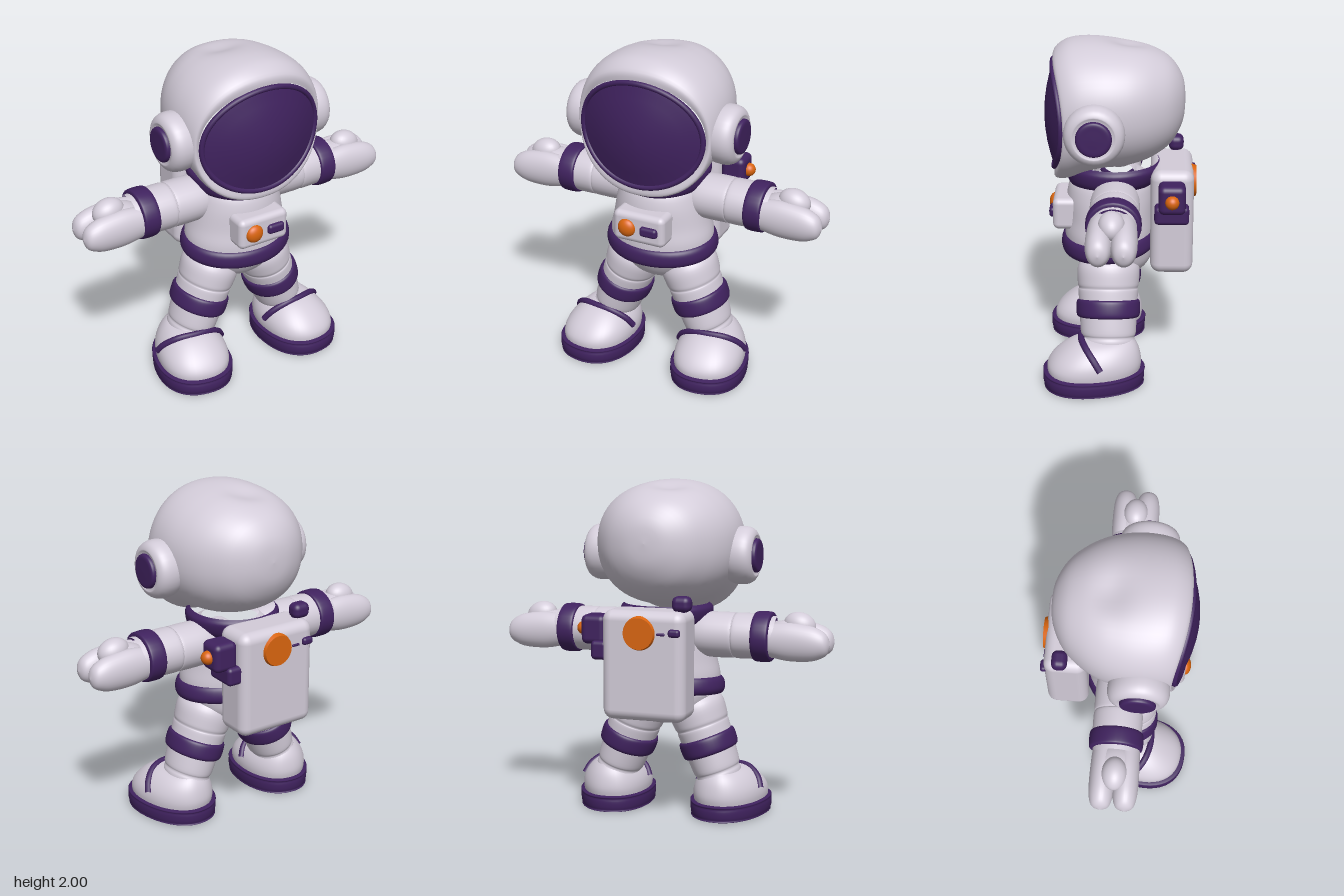
import * as THREE from 'three';
import { RoundedBoxGeometry } from 'three/addons/geometries/RoundedBoxGeometry.js';

const paint = (name, color) => {
  const m = new THREE.MeshStandardMaterial({ color });
  m.name = name;
  return m;
};

// Catmull-Rom resampling of rows of numbers
function smooth(rows, steps = 5) {
  const out = [], last = rows.length - 1;
  for (let i = 0; i < last; i++) {
    const p = rows[Math.max(i - 1, 0)], a = rows[i], b = rows[i + 1], q = rows[Math.min(i + 2, last)];
    for (let s = 0; s < steps; s++) {
      const t = s / steps;
      out.push(a.map((v, k) => v + 0.5 * t * (b[k] - p[k]
        + t * (2 * p[k] - 5 * v + 4 * b[k] - q[k] + t * (3 * (v - b[k]) + q[k] - p[k])))));
    }
  }
  out.push(rows[last]);
  return out;
}

// Closed skin over rings; point(row, angle) returns [x, y, z]
function loft(rows, point, n = 48) {
  const pos = [], idx = [];
  rows.forEach((row, i) => {
    for (let k = 0; k < n; k++) {
      pos.push(...point(row, (k / n) * Math.PI * 2));
      if (i === rows.length - 1) continue;
      const k2 = (k + 1) % n, a = i * n + k, b = i * n + k2;
      idx.push(a, b, a + n, b, b + n, a + n);
    }
  });
  const g = new THREE.BufferGeometry();
  g.setAttribute('position', new THREE.Float32BufferAttribute(pos, 3));
  g.setIndex(idx);
  g.computeVertexNormals();
  return g;
}

// Rows [y, halfWidth, zFront, zBack] stacked upwards
const stack = (rows, steps) => loft(smooth(rows, steps), ([y, w, f, b], a) =>
  [w * Math.sin(a), y, (f + b) / 2 + (f - b) / 2 * Math.cos(a)]);

// Rows [x, radiusY, radiusZ, centreY, centreZ] running along x
const along = (rows, steps) => loft(smooth(rows, steps), ([x, ry, rz, cy, cz], a) =>
  [x, cy + ry * Math.cos(a), cz + rz * Math.sin(a)], 32);

export function createModel() {
  const white = paint('suit white', 0xd3ccd9);
  const purple = paint('trim purple', 0x40225f);
  const orange = paint('button orange', 0xd9650f);
  const model = new THREE.Group();

  const add = (parent, name, geo, mat, x = 0, y = 0, z = 0) => {
    const m = new THREE.Mesh(geo, mat);
    m.name = name;
    m.position.set(x, y, z);
    parent.add(m);
    return m;
  };
  const ball = (rx, ry, rz) => new THREE.SphereGeometry(1, 32, 20).scale(rx, ry, rz);
  const box = (w, h, d, r) => new RoundedBoxGeometry(w, h, d, 4, r);

  // Helmet: rings from the back to the visor opening, [z, halfWidth, top, bottom, bend]
  const sgnPow = (v, p) => Math.sign(v) * Math.abs(v) ** p;
  const helmetRows = [
    [-0.38, 0, 1.65, 1.65, 0], [-0.365, 0.12, 1.77, 1.52, 0], [-0.3, 0.245, 1.875, 1.4, 0],
    [-0.2, 0.335, 1.94, 1.325, 0], [-0.1, 0.39, 1.975, 1.285, 0], [0, 0.42, 1.99, 1.265, 0],
    [0.1, 0.432, 1.998, 1.255, 0], [0.2, 0.43, 2, 1.225, 0.01], [0.265, 0.42, 1.985, 1.19, 0.04],
    [0.305, 0.405, 1.935, 1.195, 0.07], [0.3, 0.38, 1.88, 1.245, 0.08],
  ];
  add(model, 'helmet', loft(smooth(helmetRows, 4), ([z, w, t, b, bend], a) => {
    const x = w * sgnPow(Math.cos(a), 0.92), s = sgnPow(Math.sin(a), 0.92);
    const pz = z + bend * s * s;
    let y = (t + b) / 2 + (t - b) / 2 * s;
    // shallow dent on the crown
    if (y > 1.7) y -= 0.035 * Math.exp(-(((x + 0.04) ** 2 + (pz + 0.05) ** 2) / 0.012));
    return [x, y, pz];
  }, 64), white);

  // Visor: bulging pane with a raised rim
  const rim = (t, a) => [0.385 * t * Math.cos(a), 1.562 + 0.32 * t * Math.sin(a),
    0.44 - t * t * (0.13 - 0.07 * Math.sin(a) ** 2)];
  add(model, 'visor', loft([1, 0.93, 0.85, 0.7, 0.5, 0.3, 0.15, 0], (t, a) => {
    const p = rim(t, a);
    p[2] -= t > 0.9 ? 0 : 0.004;
    return p;
  }, 64), purple);
  const rimPath = new THREE.CatmullRomCurve3(Array.from({ length: 32 }, (_, i) =>
    new THREE.Vector3(...rim(0.965, i / 16 * Math.PI))), true);
  add(model, 'visorRim', new THREE.TubeGeometry(rimPath, 80, 0.016, 8, true), purple);

  // Collar, torso, belt and hips
  add(model, 'collar', stack([[1.13, 0.2, 0.27, -0.17], [1.15, 0.235, 0.295, -0.2],
    [1.19, 0.265, 0.31, -0.23], [1.25, 0.275, 0.31, -0.25], [1.28, 0.25, 0.28, -0.23]]), purple);
  add(model, 'torso', stack([[0.74, 0.31, 0.32, -0.19], [0.85, 0.315, 0.325, -0.2], [0.95, 0.295, 0.315, -0.2],
    [1.08, 0.27, 0.31, -0.2], [1.17, 0.24, 0.28, -0.18], [1.22, 0.18, 0.2, -0.1]]), white);
  const belt = add(model, 'belt', stack([[-0.055, 0.29, 0.24, -0.23], [-0.05, 0.325, 0.275, -0.265],
    [-0.02, 0.343, 0.288, -0.28], [0.025, 0.338, 0.284, -0.275], [0.05, 0.32, 0.268, -0.26],
    [0.057, 0.29, 0.24, -0.23]]), purple, 0, 0.79, 0.06);
  belt.rotation.x = 0.08;
  add(model, 'hips', stack([[0.55, 0, 0.06, 0.05], [0.56, 0.11, 0.14, -0.05], [0.61, 0.2, 0.22, -0.14],
    [0.68, 0.265, 0.27, -0.19], [0.77, 0.305, 0.31, -0.2]]), white);

  // Chest control panel
  add(model, 'chestPanel', box(0.325, 0.19, 0.15, 0.035), white, 0, 0.98, 0.315);
  add(model, 'chestButton', ball(0.055, 0.055, 0.035), orange, -0.07, 0.98, 0.388);
  add(model, 'chestSwitch', box(0.11, 0.06, 0.05, 0.02), purple, 0.072, 0.98, 0.388);

  // Ear pieces, arms and legs, built on the left and mirrored to the right
  for (const side of [1, -1]) {
    const half = new THREE.Group();
    half.name = side > 0 ? 'leftSide' : 'rightSide';
    half.scale.x = side;
    model.add(half);

    // Ear piece
    const earRow = (x, r) => [x, r, r, 1.56, 0.13];
    add(half, 'earPiece', along([earRow(0.36, 0.15), earRow(0.4, 0.168), earRow(0.46, 0.17),
      earRow(0.5, 0.155), earRow(0.52, 0.125), earRow(0.515, 0.1), earRow(0.5, 0)]), white);
    add(half, 'earCap', along([earRow(0.49, 0.1), earRow(0.525, 0.1), earRow(0.539, 0.088),
      earRow(0.541, 0.05), earRow(0.542, 0)]), purple);

    // Arm with a soft crease at the elbow
    const armRow = (x, r) => [x, r, r + 0.008, 1.1, 0.02];
    add(half, 'arm', along([armRow(0.15, 0.11), armRow(0.25, 0.132), armRow(0.41, 0.134), armRow(0.43, 0.128),
      armRow(0.45, 0.134), armRow(0.56, 0.132), armRow(0.68, 0.12)]), white);
    add(half, 'cuff', along([armRow(0.548, 0.11), armRow(0.55, 0.138), armRow(0.57, 0.147),
      armRow(0.63, 0.147), armRow(0.651, 0.138), armRow(0.653, 0.1)]), purple);

    // Mitten hand: palm, two fingers and a thumb
    add(half, 'palm', ball(0.15, 0.112, 0.135), white, 0.74, 1.09, 0.025);
    for (const z of [-0.043, 0.093]) {
      add(half, 'finger', along([[0.62, 0.09, 0.065, 1.09, z], [0.75, 0.11, 0.072, 1.085, z],
        [0.88, 0.103, 0.072, 1.08, z], [0.95, 0.08, 0.062, 1.078, z], [0.985, 0.05, 0.042, 1.075, z],
        [1, 0, 0, 1.075, z]]), white);
    }
    const thumb = add(half, 'thumb', ball(0.095, 0.075, 0.072), white, 0.81, 1.175, 0.025);
    thumb.rotation.z = -0.25;

    // Splayed leg with a knee band
    const leg = new THREE.Group();
    leg.name = 'leg';
    leg.position.set(0.255, 0.43, 0.062);
    leg.rotation.z = 0.35;
    half.add(leg);
    add(leg, 'legTube', stack([[-0.27, 0.12, 0.14, -0.15], [-0.2, 0.135, 0.155, -0.16], [-0.17, 0.132, 0.15, -0.155],
      [-0.14, 0.142, 0.162, -0.165], [0, 0.152, 0.17, -0.17], [0.1, 0.158, 0.178, -0.176], [0.12, 0.156, 0.174, -0.172],
      [0.15, 0.165, 0.182, -0.18], [0.25, 0.165, 0.18, -0.18], [0.32, 0.1, 0.12, -0.12], [0.33, 0, 0, 0]]), white);
    add(leg, 'kneeBand', stack([[-0.056, 0.13, 0.15, -0.15], [-0.052, 0.158, 0.175, -0.175],
      [-0.03, 0.17, 0.188, -0.188], [0.03, 0.172, 0.188, -0.188], [0.052, 0.162, 0.177, -0.177],
      [0.056, 0.13, 0.15, -0.15]]), purple);

    // Boot, turned slightly outwards; the outline is wider at the toe
    const boot = new THREE.Group();
    boot.name = 'boot';
    boot.position.set(0.345, 0, 0);
    boot.rotation.y = 0.14;
    half.add(boot);
    const egg = rows => loft(smooth(rows, 4), ([y, w, f, b], a) => [
      w * sgnPow(Math.sin(a), 0.88) * (0.93 + 0.09 * Math.cos(a)), y,
      (f + b) / 2 + (f - b) / 2 * sgnPow(Math.cos(a), 0.92)]);
    add(boot, 'sole', egg([[0, 0, 0.15, 0.15], [0, 0.215, 0.415, -0.125], [0.012, 0.236, 0.44, -0.146],
      [0.045, 0.243, 0.448, -0.153], [0.08, 0.24, 0.442, -0.15], [0.097, 0.22, 0.42, -0.13],
      [0.1, 0, 0.15, 0.15]]), purple);
    add(boot, 'bootUpper', egg([[0.08, 0.218, 0.42, -0.125], [0.13, 0.223, 0.42, -0.135],
      [0.18, 0.212, 0.39, -0.13], [0.23, 0.18, 0.335, -0.115], [0.27, 0.135, 0.27, -0.09],
      [0.288, 0.085, 0.21, -0.06], [0.295, 0, 0.1, 0.09]]), white);
    const strap = new THREE.CatmullRomCurve3([[-0.207, 0.165, 0.13], [-0.175, 0.222, 0.165], [-0.1, 0.272, 0.205],
      [0, 0.283, 0.22], [0.1, 0.272, 0.205], [0.175, 0.222, 0.165], [0.207, 0.165, 0.13]]
      .map(p => new THREE.Vector3(...p)));
    add(boot, 'bootStrap', new THREE.TubeGeometry(strap, 40, 0.02, 10), purple);
  }

  // Backpack with its fittings
  const pack = new THREE.Group();
  pack.name = 'backpack';
  model.add(pack);
  add(pack, 'packBody', box(0.5, 0.635, 0.25, 0.06), white, -0.005, 0.958, -0.308);
  const disc = add(pack, 'packDisc', new THREE.CylinderGeometry(0.09, 0.1, 0.03, 32), orange, 0.01, 1.15, -0.436);
  disc.rotation.x = -Math.PI / 2;
  add(pack, 'valveBase', box(0.1, 0.11, 0.2, 0.025), purple, 0.27, 1.035, -0.305);
  add(pack, 'valveBody', box(0.15, 0.17, 0.155, 0.035), purple, 0.315, 1.15, -0.305);
  add(pack, 'valveKnob', ball(0.04, 0.04, 0.04), orange, 0.395, 1.15, -0.305);
  add(pack, 'topKnob', box(0.11, 0.09, 0.09, 0.035), purple, -0.215, 1.315, -0.335);
  add(pack, 'topKnobStem', new THREE.CylinderGeometry(0.03, 0.03, 0.08, 16), purple, -0.2, 1.26, -0.33);
  add(pack, 'sideKnob', box(0.07, 0.045, 0.04, 0.018), purple, -0.2, 1.16, -0.435);
  add(pack, 'sideKnobPin', box(0.05, 0.015, 0.02, 0.006), purple, -0.12, 1.15, -0.432);

  return model;
}
